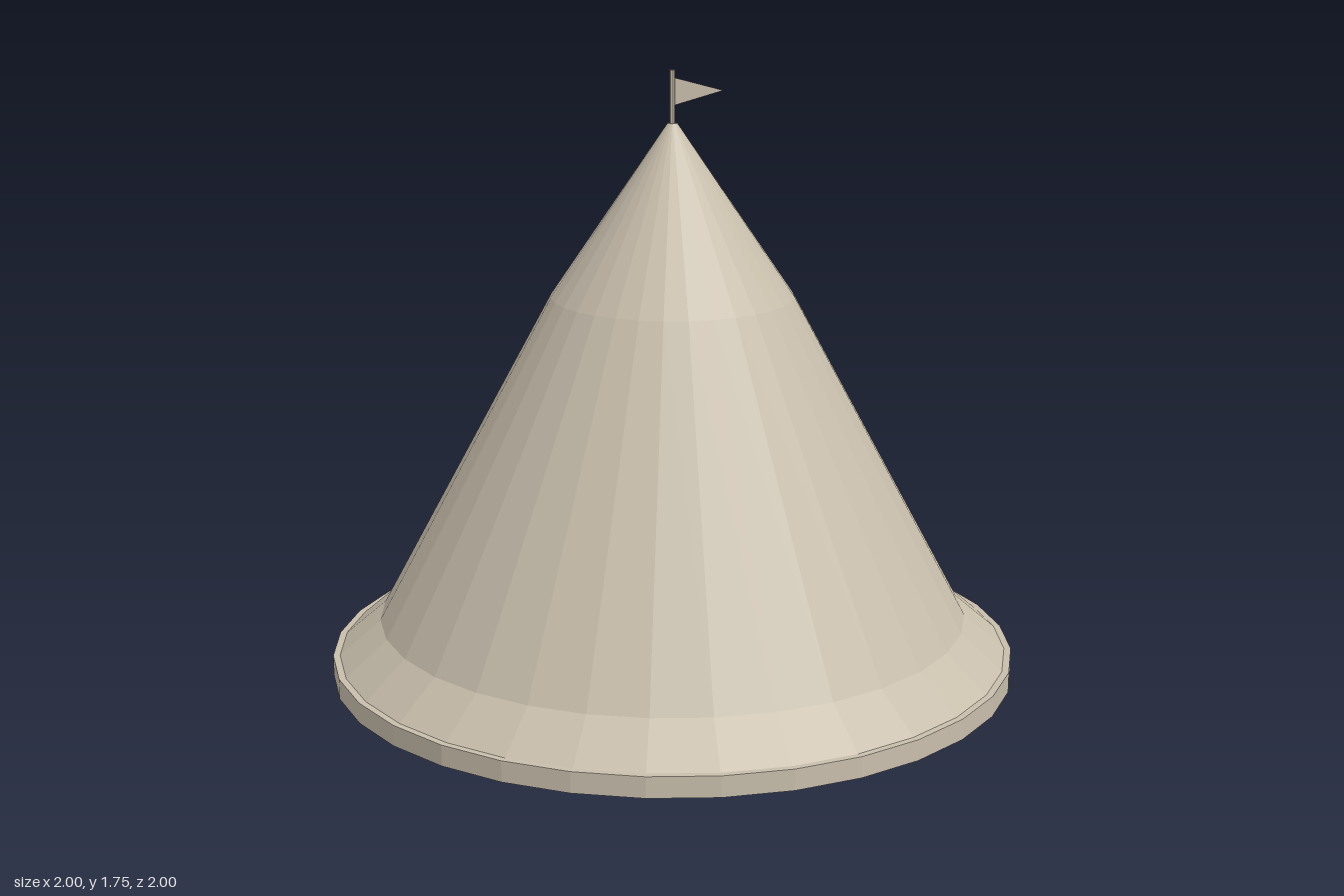
import * as THREE from 'three';

export function createModel() {
  const group = new THREE.Group();
  group.name = 'tent';
  const canvas = new THREE.MeshStandardMaterial({ color: 0xc8beac, flatShading: true });
  canvas.name = 'canvas beige';
  const flagCloth = new THREE.MeshStandardMaterial({ color: 0xc8beac, flatShading: true, side: THREE.DoubleSide });
  flagCloth.name = 'flag beige';

  const add = (name, geometry, material, y = 0) => {
    const mesh = new THREE.Mesh(geometry, material);
    mesh.name = name;
    mesh.position.y = y;
    group.add(mesh);
  };

  // low round plinth
  add('base', new THREE.CylinderGeometry(1, 1, 0.06, 32), canvas, 0.03);

  // flared skirt, steep wall and pointed crown
  const profile = [[0.98, 0.06], [0.86, 0.163], [0.35, 1.11], [0.014, 1.605], [0, 1.605]]
    .map(([r, y]) => new THREE.Vector2(r, y));
  add('canopy', new THREE.LatheGeometry(profile, 32), canvas);

  // pole on the peak
  add('flagPole', new THREE.CylinderGeometry(0.008, 0.008, 0.17, 8), canvas, 1.67);

  // triangular pennant flying to the left
  const pennant = new THREE.Shape([
    new THREE.Vector2(0.005, 1.655),
    new THREE.Vector2(0.145, 1.695),
    new THREE.Vector2(0.005, 1.733),
  ]);
  add('flag', new THREE.ShapeGeometry(pennant), flagCloth);

  return group;
}
